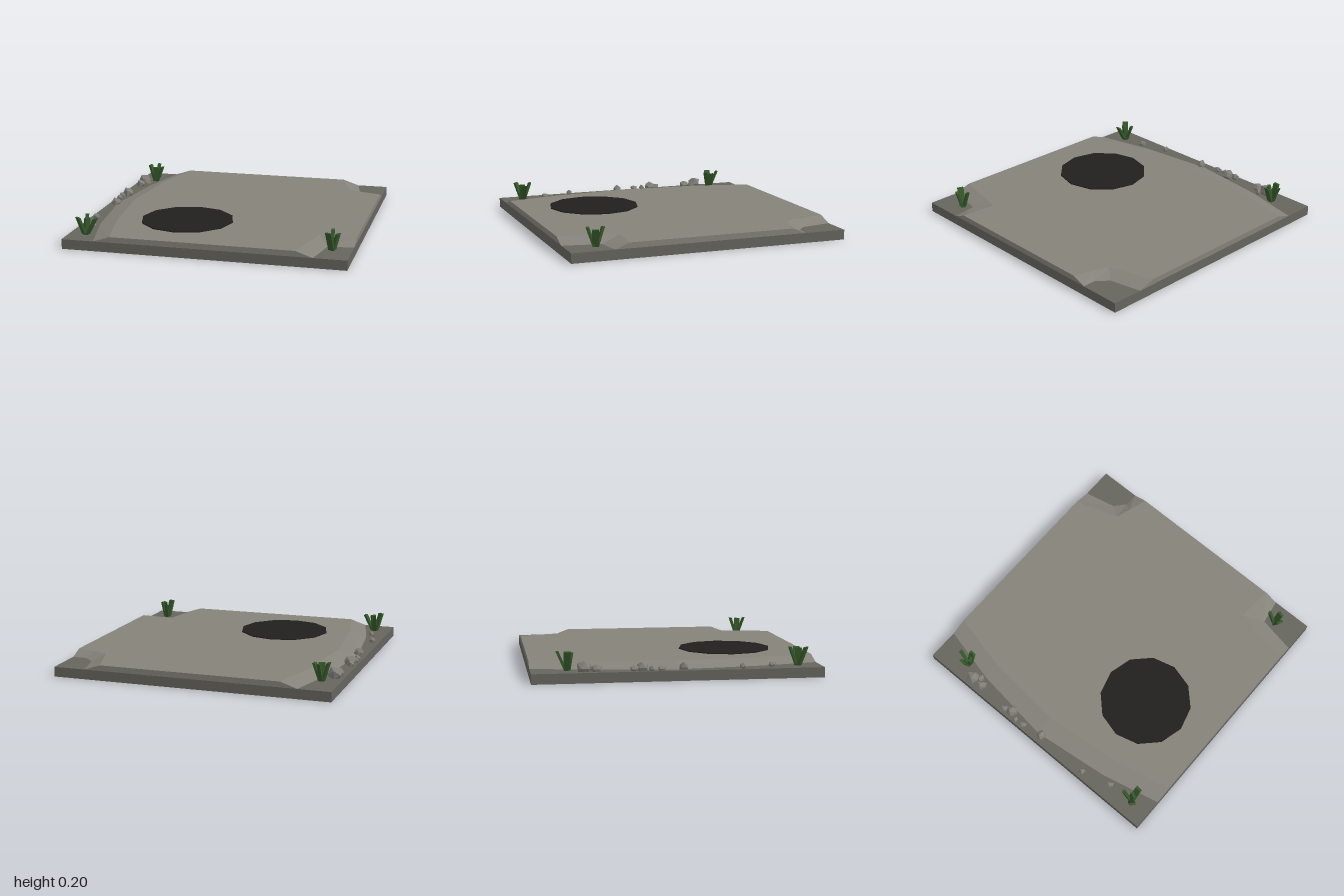
import * as THREE from 'three';

const GROUND = 0.07, ROAD = 0.11;

function material(color) {
  return new THREE.MeshStandardMaterial({ color, flatShading: true });
}

function addMesh(parent, name, geometry, mat) {
  const mesh = new THREE.Mesh(geometry, mat);
  mesh.name = name;
  parent.add(mesh);
  return mesh;
}

// Road outline: crest x, z then foot x, z, running counter-clockwise from above
const OUTLINE = [
  [-0.65, 1, -0.77, 1], [0.65, 1, 0.77, 1], [0.74, 0.58, 0.82, 0.73],
  [1, 0.6, 1, 0.7], [1, -0.6, 1, -0.7], [0.86, -0.64, 0.9, -0.7],
  [0.75, -0.68, 0.82, -0.77], [0.65, -1, 0.77, -1], [-0.65, -1, -0.77, -1],
  [-0.75, -0.58, -0.87, -0.58], [-0.8, 0, -0.94, 0], [-0.74, 0.58, -0.87, 0.58],
];

// Sloped shoulders joining the foot outline to the crest outline
function shoulderGeometry() {
  const points = [];
  OUTLINE.forEach((a, i) => {
    const b = OUTLINE[(i + 1) % OUTLINE.length];
    const footA = [a[2], GROUND, a[3]], footB = [b[2], GROUND, b[3]];
    const crestA = [a[0], ROAD, a[1]], crestB = [b[0], ROAD, b[1]];
    points.push(...footA, ...footB, ...crestB, ...footA, ...crestB, ...crestA);
  });
  const g = new THREE.BufferGeometry();
  g.setAttribute('position', new THREE.Float32BufferAttribute(points, 3));
  g.computeVertexNormals();
  return g;
}

// Irregular pebble: an icosahedron whose vertices are pushed by a position rule
function rockGeometry(radius, seed) {
  const g = new THREE.IcosahedronGeometry(radius, 0);
  const p = g.attributes.position;
  const v = new THREE.Vector3();
  for (let i = 0; i < p.count; i++) {
    v.fromBufferAttribute(p, i);
    const n = v.clone().divideScalar(radius);
    v.multiplyScalar(0.95 + 0.17 * Math.sin(n.x * 5 + n.y * 7 + n.z * 3 + seed * 2.3));
    p.setXYZ(i, v.x, v.y, v.z);
  }
  g.computeVertexNormals();
  return g;
}

// Flat grass blade standing on the ground and leaning towards (dx, dz)
function bladeGeometry(dx, dz, height, width) {
  const g = new THREE.BoxGeometry(width, height, 0.018);
  g.translate(0, height / 2, 0);
  g.rotateY(Math.atan2(dx, dz));
  const p = g.attributes.position;
  for (let i = 0; i < p.count; i++) {
    const t = p.getY(i) / height;
    p.setX(i, p.getX(i) + dx * (0.15 + 0.7 * t));
    p.setZ(i, p.getZ(i) + dz * (0.15 + 0.7 * t));
  }
  g.computeVertexNormals();
  return g;
}

export function createModel() {
  const model = new THREE.Group();
  model.name = 'roadTile';
  const soil = material(0x66645d);
  const paving = material(0x85827a);
  const dark = material(0x221f1e);
  const stone = material(0x827f79);
  const green = material(0x35592a);

  // Base slab
  const slab = new THREE.BoxGeometry(2, GROUND, 2);
  slab.translate(0, GROUND / 2, 0);
  addMesh(model, 'baseSlab', slab, soil);

  // Raised road with a side branch
  const road = new THREE.Group();
  road.name = 'road';
  model.add(road);
  const top = new THREE.Shape(OUTLINE.map(([x, z]) => new THREE.Vector2(x, -z)));
  const surface = new THREE.ShapeGeometry(top);
  surface.rotateX(-Math.PI / 2);
  surface.translate(0, ROAD, 0);
  addMesh(road, 'roadSurface', surface, paving);
  addMesh(road, 'roadShoulders', shoulderGeometry(), paving);

  // Dark round cover
  const cover = addMesh(model, 'roundCover', new THREE.CylinderGeometry(0.335, 0.34, 0.03, 12), dark);
  cover.position.set(-0.25, 0.102, 0.45);

  // Rocks along the left verge: x, z, radius
  const rocks = new THREE.Group();
  rocks.name = 'rocks';
  model.add(rocks);
  [
    [-0.935, -0.64, 0.054], [-0.94, -0.56, 0.04], [-0.9, -0.6, 0.032],
    [-0.962, -0.305, 0.03], [-0.94, -0.255, 0.047], [-0.97, -0.19, 0.024],
    [-0.967, -0.12, 0.027], [-0.938, 0.03, 0.038], [-0.95, 0.44, 0.026],
    [-0.895, 0.655, 0.027],
  ].forEach(([x, z, r], i) => {
    addMesh(rocks, 'rock', rockGeometry(r, i), stone).position.set(x, GROUND + r * 0.45, z);
  });

  // Grass tufts: centre x, z, then the lean of each blade
  [
    [-0.87, -0.75, [[0.01, -0.08], [0.065, 0.005], [-0.055, -0.005], [0.01, 0.03]]],
    [-0.88, 0.84, [[-0.01, -0.07], [0.09, 0.01], [-0.045, 0.055], [0.02, 0.01]]],
    [0.865, 0.79, [[-0.01, -0.065], [0.045, 0.015], [-0.025, 0.06]]],
  ].forEach(([x, z, leans]) => {
    const tuft = new THREE.Group();
    tuft.name = 'grassTuft';
    tuft.position.set(x, GROUND, z);
    leans.forEach(([dx, dz], i) => {
      addMesh(tuft, 'grassBlade', bladeGeometry(dx, dz, 0.13 - 0.01 * (i % 2), i === 0 ? 0.024 : 0.045), green);
    });
    model.add(tuft);
  });

  return model;
}
